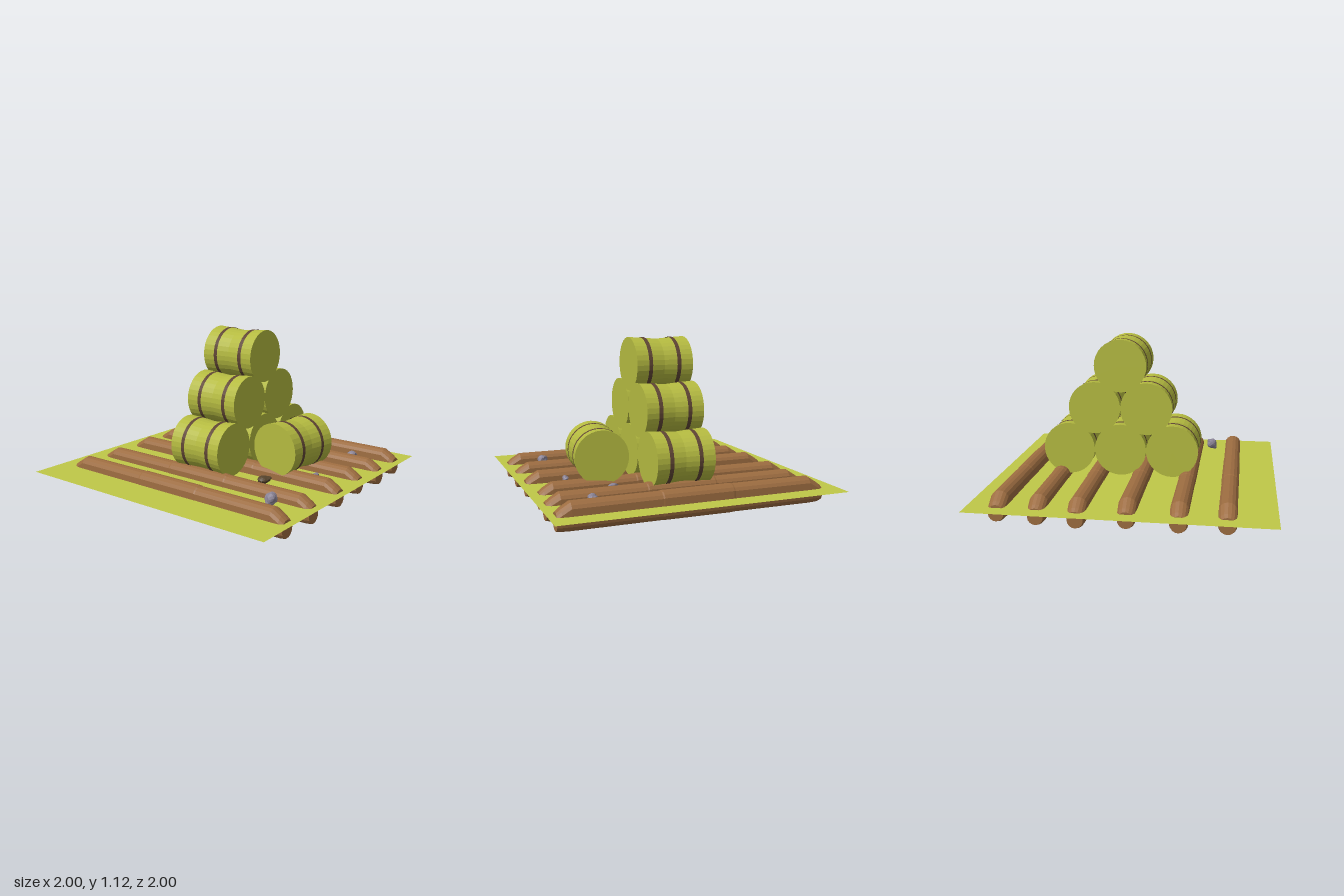
import * as THREE from 'three';

const mat = (color, opts = {}) => new THREE.MeshStandardMaterial({ color, ...opts });
const barrelMat = mat(0xb4ba40, { flatShading: true });
const bandMat = mat(0x5e4433, { flatShading: true, side: THREE.DoubleSide });
const logMat = mat(0x9c6c40, { flatShading: true });
const stoneMat = mat(0x8b8496, { flatShading: true });
const darkStoneMat = mat(0x54432c, { flatShading: true });

function add(parent, name, geometry, material) {
  const mesh = new THREE.Mesh(geometry, material);
  mesh.name = name;
  parent.add(mesh);
  return mesh;
}

// Barrel with a pinched waist, axis along z
function makeBarrel(name) {
  const group = new THREE.Group();
  group.name = name;
  const profile = [[0, -0.206], [0.186, -0.206], [0.18, -0.105], [0.171, 0],
    [0.18, 0.105], [0.186, 0.206], [0, 0.206]].map(([r, y]) => new THREE.Vector2(r, y));
  add(group, 'barrelBody', new THREE.LatheGeometry(profile, 32).rotateX(Math.PI / 2), barrelMat);
  for (const z of [-0.105, 0.105]) {
    const band = new THREE.CylinderGeometry(0.183, 0.183, 0.028, 32, 1, true).rotateX(Math.PI / 2);
    add(group, 'barrelBand', band, bandMat).position.z = z;
  }
  return group;
}

// Log lofted from tall rounded sections: [z, top height, radius]
function logGeometry() {
  const stations = [[-0.89, 0.13, 0.052], [-0.865, 0.148, 0.06], [-0.79, 0.195, 0.063],
    [-0.225, 0.196, 0.062], [-0.215, 0.199, 0.0645], [0.265, 0.199, 0.0635],
    [0.275, 0.195, 0.062], [0.86, 0.194, 0.063], [0.92, 0.158, 0.061], [0.95, 0.134, 0.056]];
  const n = 16, pos = [], index = [];
  for (const [z, top, r] of stations) {
    for (let i = 0; i < n; i++) {
      const a = (i / n) * Math.PI * 2;
      const s = Math.sin(a);
      const centre = s > 0.01 ? Math.max(top - r, 0.07) : 0.07;
      pos.push(Math.cos(a) * r, centre + s * r, z);
    }
  }
  for (let k = 0; k < stations.length - 1; k++) {
    for (let i = 0; i < n; i++) {
      const a = k * n + i, b = k * n + (i + 1) % n;
      index.push(a, b, b + n, a, b + n, a + n);
    }
  }
  // End cuts
  const last = (stations.length - 1) * n;
  for (let i = 1; i < n - 1; i++) {
    index.push(0, i + 1, i, last, last + i, last + i + 1);
  }
  const geometry = new THREE.BufferGeometry();
  geometry.setAttribute('position', new THREE.Float32BufferAttribute(pos, 3));
  geometry.setIndex(index);
  geometry.computeVertexNormals();
  return geometry;
}

// Lumpy stone from a rippled icosahedron
function stoneGeometry(seed) {
  const geometry = new THREE.IcosahedronGeometry(1, 2);
  const p = geometry.attributes.position, v = new THREE.Vector3();
  for (let i = 0; i < p.count; i++) {
    v.fromBufferAttribute(p, i);
    const k = 0.94 + 0.1 * Math.sin(4 * v.x + seed) + 0.09 * Math.sin(5 * v.y + 2 * seed + 3 * v.z);
    p.setXYZ(i, v.x * k, v.y * k, v.z * k);
  }
  geometry.computeVertexNormals();
  return geometry;
}

export function createModel() {
  const model = new THREE.Group();
  model.name = 'barrelPile';

  // Ground sheet
  const sheet = new THREE.PlaneGeometry(2, 2).rotateX(-Math.PI / 2);
  add(model, 'groundSheet', sheet, mat(0xbfc848, { side: THREE.DoubleSide })).position.y = 0.12;

  // Row of logs: x, y offset, z offset
  const logGeo = logGeometry();
  for (const [x, y, z] of [[-0.683, 0.004, 0], [-0.378, -0.003, 0], [-0.045, 0.007, 0],
    [0.275, 0, -0.02], [0.54, 0, 0], [0.8, 0.01, 0]]) {
    add(model, 'log', logGeo, logMat).position.set(x, y, z);
  }

  // Stacked barrels, three rows
  for (let row = 0; row < 3; row++) {
    for (let i = 0; i < 3 - row; i++) {
      const barrel = makeBarrel('stackedBarrel');
      barrel.position.set(0.105 + (i - (2 - row) / 2) * 0.371, 0.335 + row * 0.303, 0.028);
      model.add(barrel);
    }
  }

  // Loose barrel in front
  const loose = makeBarrel('looseBarrel');
  loose.position.set(0.112, 0.335, 0.477);
  loose.rotation.y = 1.46;
  model.add(loose);

  // Stones: position, half sizes, turn, tilt
  const stones = [
    [[-0.513, 0.163, 0.715], [0.055, 0.038, 0.038], 0, 0.85, stoneMat],
    [[-0.202, 0.148, 0.447], [0.054, 0.027, 0.034], -0.75, 0.1, darkStoneMat],
    [[0.067, 0.153, 0.69], [0.033, 0.023, 0.025], -0.2, 0.1, stoneMat],
    [[0.393, 0.15, 0.445], [0.053, 0.027, 0.034], -0.75, 0.2, stoneMat],
    [[0.638, 0.155, 0.667], [0.051, 0.031, 0.033], -0.7, 0.2, stoneMat],
  ];
  stones.forEach(([position, size, turn, tilt, material], i) => {
    const stone = add(model, 'stone', stoneGeometry(i * 1.7 + 1), material);
    stone.position.set(...position);
    stone.scale.set(...size);
    stone.rotation.set(0, turn, tilt);
  });

  return model;
}
